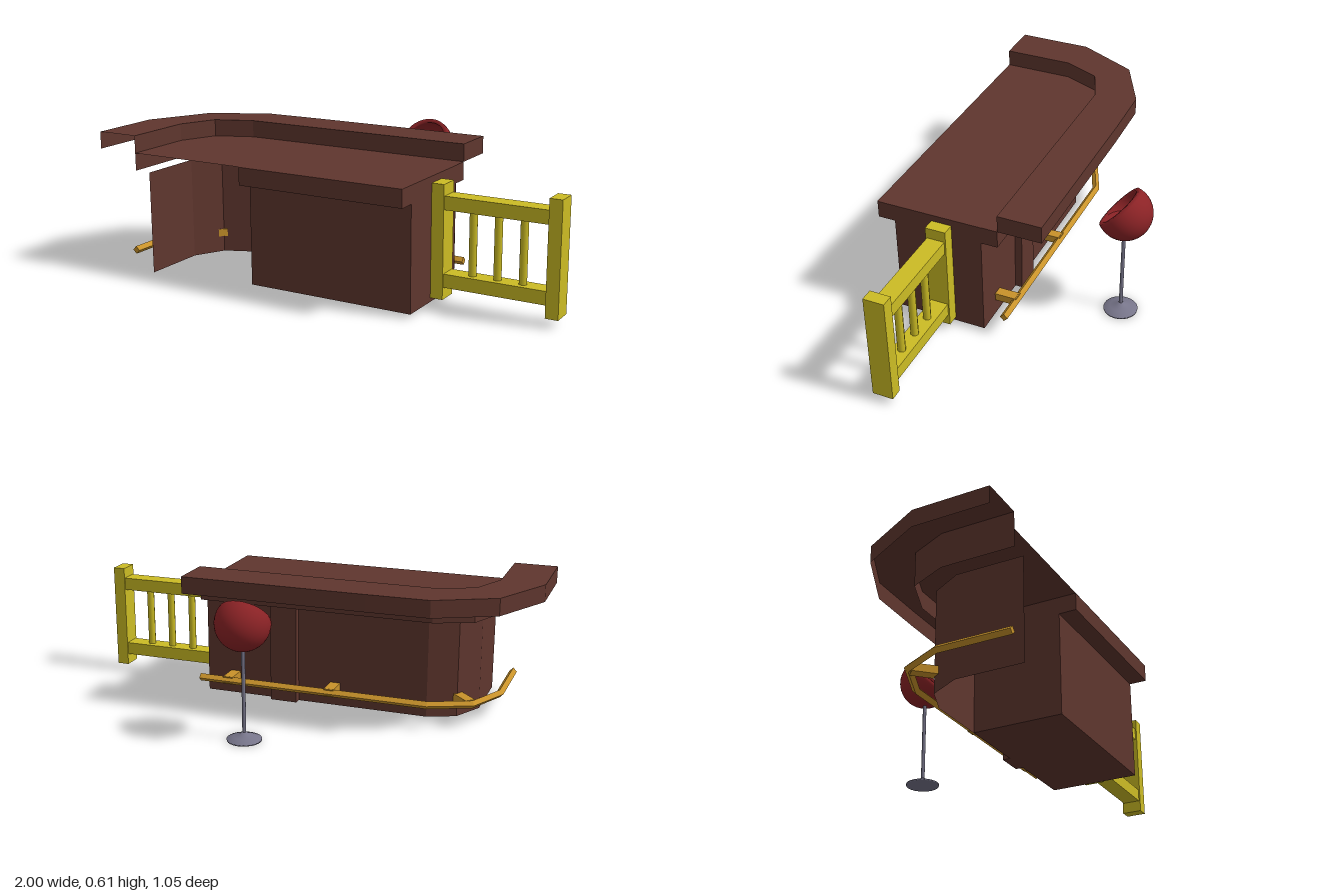
import * as THREE from 'three';

const mat = (name, color, side = THREE.FrontSide) => {
  const m = new THREE.MeshStandardMaterial({ color, side });
  m.name = name;
  return m;
};

export function createModel() {
  const root = new THREE.Group();
  root.name = 'barCounter';
  const wood = mat('darkWood', 0x5f362e, THREE.DoubleSide);
  const yellow = mat('yellowPaint', 0xccbc24);
  const brass = mat('brass', 0xc8922a);
  const red = mat('redSeat', 0x8c2326, THREE.DoubleSide);
  const steel = mat('greySteel', 0x77758a);

  const add = (parent, name, geo, material) => {
    const m = new THREE.Mesh(geo, material);
    m.name = name;
    parent.add(m);
    return m;
  };
  const box = (parent, name, material, x0, x1, y0, y1, z0, z1) =>
    add(parent, name, new THREE.BoxGeometry(x1 - x0, y1 - y0, z1 - z0), material)
      .position.set((x0 + x1) / 2, (y0 + y1) / 2, (z0 + z1) / 2);

  // Upright thin panel following a floor path of [x, z] points
  const panel = (parent, name, path, y0, y1) => {
    const pos = [];
    for (let i = 0; i < path.length - 1; i++) {
      const [ax, az] = path[i], [bx, bz] = path[i + 1];
      pos.push(bx, y0, bz, ax, y0, az, ax, y1, az, bx, y0, bz, ax, y1, az, bx, y1, bz);
    }
    const g = new THREE.BufferGeometry();
    g.setAttribute('position', new THREE.Float32BufferAttribute(pos, 3));
    g.computeVertexNormals();
    return add(parent, name, g, wood);
  };
  // Level sheet facing up, from an [x, z] outline
  const sheet = (parent, name, outline, y) => {
    const s = new THREE.Shape(outline.map(([x, z]) => new THREE.Vector2(x, -z)));
    const g = new THREE.ShapeGeometry(s).rotateX(-Math.PI / 2).translate(0, y, 0);
    return add(parent, name, g, wood);
  };

  // Counter: three nested outlines, each bending round the corner
  const ledgeOuter = [[-1, 0.525], [-1, 0.2], [-0.865, -0.07], [-0.615, -0.195], [-0.35, -0.2], [0.462, -0.2]];
  const ledgeInner = [[-0.812, 0.525], [-0.812, 0.215], [-0.742, 0.055], [-0.58, -0.01], [0.462, -0.01]];
  const wallPath = [[-0.74, 0.525], [-0.74, 0.24], [-0.67, 0.11], [-0.55, 0.06], [0.462, 0.06]];

  const counter = new THREE.Group();
  counter.name = 'counter';
  root.add(counter);
  panel(counter, 'ledgeOuterEdge', ledgeOuter, 0.533, 0.607);
  panel(counter, 'ledgeInnerEdge', [...ledgeInner].reverse(), 0.533, 0.607);
  panel(counter, 'ledgeEnd', [[0.462, -0.2], [0.462, -0.01]], 0.533, 0.607);
  sheet(counter, 'ledgeTop', [...ledgeOuter, ...[...ledgeInner].reverse()], 0.607);
  panel(counter, 'mouldingEdge', ledgeInner, 0.457, 0.533);
  panel(counter, 'mouldingEnd', [[0.462, -0.01], [0.462, 0.06]], 0.457, 0.533);
  sheet(counter, 'worktop', [...ledgeInner, [0.462, 0.525]], 0.533);
  panel(counter, 'counterWall', wallPath, 0.017, 0.457);
  box(counter, 'worktopSlab', wood, -0.28, 0.462, 0.457, 0.532, 0.06, 0.525);
  box(counter, 'cabinet', wood, -0.28, 0.462, 0.017, 0.457, 0.062, 0.45);
  box(counter, 'wallPost', wood, 0.03, 0.15, 0.017, 0.457, 0.028, 0.062);

  // Gate beside the counter
  const gate = new THREE.Group();
  gate.name = 'gate';
  root.add(gate);
  for (const x of [0.463, 0.947]) box(gate, 'gatePost', yellow, x, x + 0.053, 0.035, 0.505, 0.192, 0.281);
  for (const y of [0.085, 0.402]) box(gate, 'gateRail', yellow, 0.516, 0.947, y, y + 0.056, 0.198, 0.275);
  for (const x of [0.624, 0.73, 0.836])
    add(gate, 'gateBaluster', new THREE.CylinderGeometry(0.017, 0.017, 0.262, 8), yellow).position.set(x, 0.272, 0.236);

  // Foot rail: square bar on edge, mitred at each bend
  const footRail = new THREE.Group();
  footRail.name = 'footRail';
  root.add(footRail);
  const railPath = [[-0.832, 0.525], [-0.832, 0.215], [-0.75, 0.045], [-0.575, -0.03], [0.462, -0.03]]
    .map(([x, z]) => new THREE.Vector2(x, z));
  const r = 0.017, y = 0.104, verts = [], index = [];
  railPath.forEach((p, i) => {
    const a = railPath[Math.max(i - 1, 0)], b = railPath[Math.min(i + 1, railPath.length - 1)];
    const t = b.clone().sub(a).normalize();
    const nx = t.y * r, nz = -t.x * r;
    verts.push(p.x + nx, y, p.y + nz, p.x, y + r, p.y, p.x - nx, y, p.y - nz, p.x, y - r, p.y);
    if (i === 0) return;
    for (let k = 0; k < 4; k++) {
      const k2 = (k + 1) % 4, o = (i - 1) * 4;
      index.push(o + k, o + k2, o + 4 + k2, o + k, o + 4 + k2, o + 4 + k);
    }
  });
  const e = (railPath.length - 1) * 4;
  index.push(0, 2, 1, 0, 3, 2, e, e + 1, e + 2, e, e + 2, e + 3);
  const indexed = new THREE.BufferGeometry();
  indexed.setAttribute('position', new THREE.Float32BufferAttribute(verts, 3));
  indexed.setIndex(index);
  const railGeo = indexed.toNonIndexed();
  railGeo.computeVertexNormals();
  // Make sure the faces point outward whichever way the path runs
  const p = railGeo.attributes.position, n = railGeo.attributes.normal;
  let volume = 0;
  for (let i = 0; i < p.count; i += 3) {
    const [a, b, c] = [0, 1, 2].map((k) => new THREE.Vector3().fromBufferAttribute(p, i + k));
    volume += a.dot(b.cross(c));
  }
  if (volume < 0) {
    for (let i = 0; i < p.count; i += 3) {
      const b = new THREE.Vector3().fromBufferAttribute(p, i + 1), c = new THREE.Vector3().fromBufferAttribute(p, i + 2);
      p.setXYZ(i + 1, c.x, c.y, c.z);
      p.setXYZ(i + 2, b.x, b.y, b.z);
    }
    for (let i = 0; i < n.array.length; i++) n.array[i] *= -1;
  }
  add(footRail, 'railBar', railGeo, brass);
  for (const [x, z, turn] of [[0.33, 0.015, 0], [-0.14, 0.015, 0], [-0.705, 0.085, Math.PI / 4]]) {
    const bracket = add(footRail, 'railBracket', new THREE.BoxGeometry(0.045, 0.033, 0.1), brass);
    bracket.position.set(x, y, z);
    bracket.rotation.y = turn;
  }

  // Stool: flared base, pole and a tilted bowl seat
  const stool = new THREE.Group();
  stool.name = 'stool';
  stool.position.set(0.095, 0, -0.408);
  root.add(stool);
  const v = (a, b) => new THREE.Vector2(a, b);
  add(stool, 'stoolBase', new THREE.LatheGeometry(
    [v(0, 0), v(0.072, 0), v(0.073, 0.007), v(0.045, 0.018), v(0.02, 0.026), v(0.009, 0.036), v(0, 0.036)], 24), steel);
  add(stool, 'stoolPole', new THREE.CylinderGeometry(0.008, 0.008, 0.37, 12), steel).position.y = 0.215;

  const R = 0.115, inner = 0.098, profile = [];
  const rim = THREE.MathUtils.degToRad(72);
  for (let i = 0; i <= 16; i++) {
    const a = Math.PI + (rim - Math.PI) * i / 16;
    profile.push(v(Math.max(R * Math.sin(a), 0), R * Math.cos(a)));
  }
  const innerRim = Math.acos(R * Math.cos(rim) / inner);
  for (let i = 0; i <= 14; i++) {
    const a = innerRim + (Math.PI - innerRim) * i / 14;
    profile.push(v(Math.max(inner * Math.sin(a), 0), inner * Math.cos(a)));
  }
  const bowl = add(stool, 'seatShell', new THREE.LatheGeometry(profile, 32), red);
  bowl.position.y = 0.5;
  bowl.rotation.x = THREE.MathUtils.degToRad(48);
  add(stool, 'seatCushion', new THREE.CylinderGeometry(0.084, 0.06, 0.03, 32), red).position.y = 0.437;

  return root;
}
